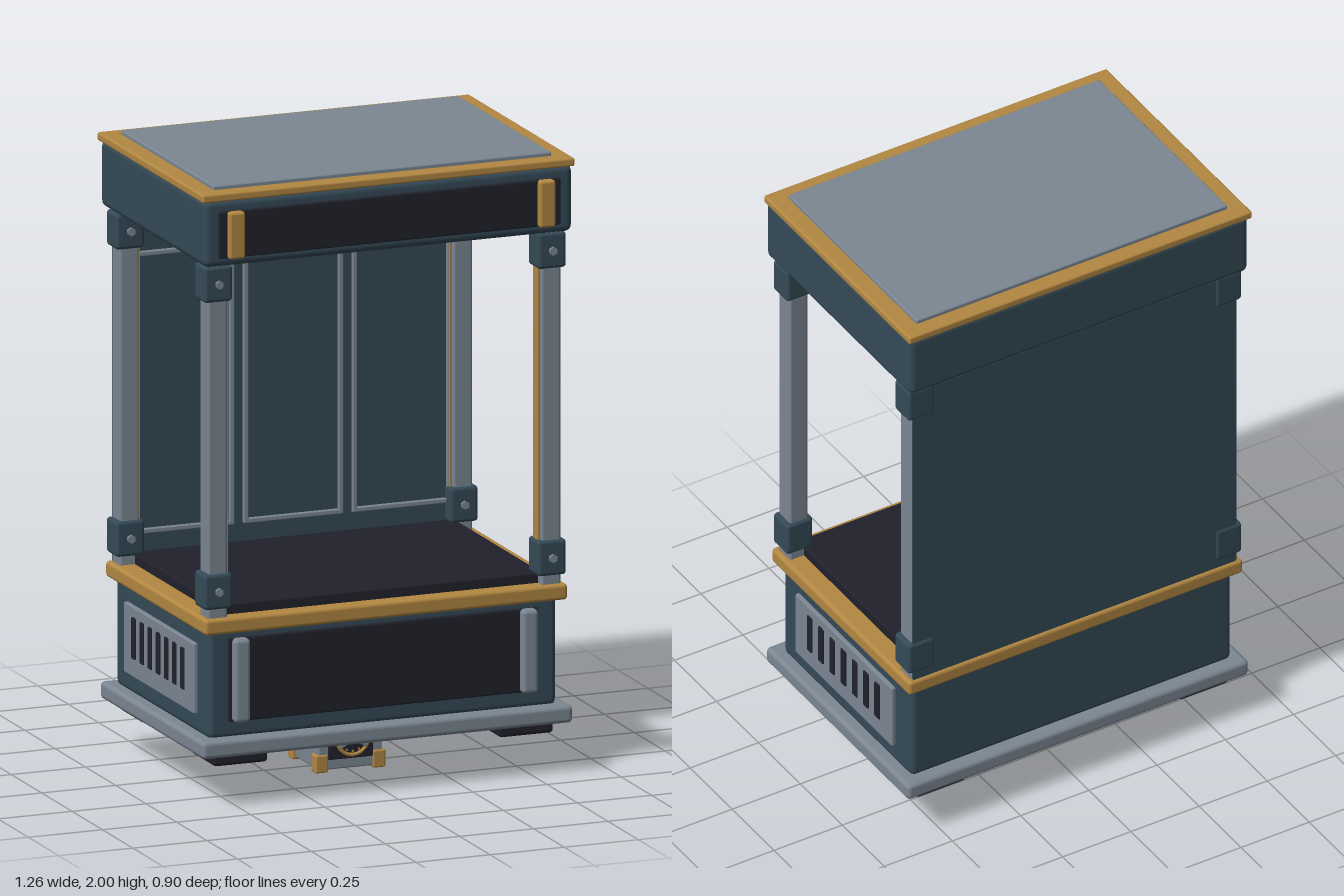
import * as THREE from 'three';
import { RoundedBoxGeometry } from 'three/addons/geometries/RoundedBoxGeometry.js';

const paint = (name, color) => Object.assign(new THREE.MeshStandardMaterial({ color }), { name });

export function createModel() {
  const model = new THREE.Group();
  model.name = 'displayCabinet';
  const slate = paint('slate blue', 0x344a57);
  const steel = paint('steel grey', 0x7c8793);
  const brass = paint('brass', 0xb38842);
  const dark = paint('charcoal', 0x21212c);

  // Box given by its extents on each axis; r rounds the edges
  function box(name, mat, [x0, x1], [y0, y1], [z0, z1], r = 0, parent = model) {
    const w = x1 - x0, h = y1 - y0, d = z1 - z0;
    const geo = r ? new RoundedBoxGeometry(w, h, d, 2, r) : new THREE.BoxGeometry(w, h, d);
    const mesh = new THREE.Mesh(geo, mat);
    mesh.name = name;
    mesh.position.set((x0 + x1) / 2, (y0 + y1) / 2, (z0 + z1) / 2);
    parent.add(mesh);
    return mesh;
  }
  // Same box on both sides of the x axis
  function pair(name, mat, [x0, x1], y, z, r, parent) {
    box(name, mat, [x0, x1], y, z, r, parent);
    box(name, mat, [-x1, -x0], y, z, r, parent);
  }
  // Round part facing +z
  function disc(name, mat, radius, x, y, z0, z1, sides, parent = model) {
    const mesh = new THREE.Mesh(new THREE.CylinderGeometry(radius, radius, z1 - z0, sides), mat);
    mesh.name = name;
    mesh.rotation.x = Math.PI / 2;
    mesh.position.set(x, y, (z0 + z1) / 2);
    parent.add(mesh);
  }

  // Lower cabinet
  box('basePlate', steel, [-0.625, 0.625], [0.165, 0.222], [-0.44, 0.412], 0.015);
  for (const z of [[0.18, 0.377], [-0.403, -0.217]])
    pair('foot', dark, [0.39, 0.573], [0.13, 0.17], z, 0.012);
  box('lowerBody', slate, [-0.587, 0.587], [0.215, 0.57], [-0.398, 0.367], 0.02);
  box('lowerFrontPanel', dark, [-0.522, 0.522], [0.27, 0.54], [0.35, 0.378], 0.006);
  pair('lowerHandle', steel, [0.458, 0.513], [0.27, 0.54], [0.36, 0.405], 0.014);
  box('brassLedge', brass, [-0.612, 0.612], [0.56, 0.612], [-0.425, 0.4], 0.012);
  box('displayFloor', dark, [-0.545, 0.545], [0.605, 0.645], [-0.375, 0.352], 0.006);

  // Side vents with seven slots
  pair('ventPlate', steel, [0.575, 0.6], [0.28, 0.507], [-0.302, 0.276], 0.005);
  for (let i = 0; i < 7; i++) {
    const z = 0.186 - i * 0.067;
    pair('ventSlot', dark, [0.592, 0.605], [0.34, 0.475], [z - 0.015, z + 0.015], 0.005);
  }

  // Corner posts, inner brass strips, caps and bolts
  for (const [z0, z1] of [[0.313, 0.383], [-0.412, -0.342]]) {
    const zm = (z0 + z1) / 2;
    pair('post', steel, [0.53, 0.595], [0.605, 1.76], [z0, z1], 0.008);
    pair('postStrip', brass, [0.523, 0.531], [0.64, 1.7], [zm - 0.022, zm + 0.022]);
    for (const y of [[0.64, 0.755], [1.63, 1.746]]) {
      pair('postCap', slate, [0.515, 0.611], y, [zm - 0.044, zm + 0.044], 0.012);
      for (const s of [-1, 1])
        disc('capBolt', steel, 0.014, s * 0.563, (y[0] + y[1]) / 2, zm + 0.04, zm + 0.054, 6);
    }
  }

  // Back wall with three raised frames
  box('backWall', slate, [-0.592, 0.592], [0.605, 1.735], [-0.416, -0.378]);
  for (const x of [-0.367, 0, 0.367]) {
    const frame = new THREE.Group();
    frame.name = 'wallFrame';
    frame.position.x = x;
    model.add(frame);
    const z = [-0.38, -0.364];
    pair('frameUpright', steel, [0.152, 0.168], [0.7, 1.61], z, 0.004, frame);
    for (const y of [0.7, 1.594])
      box('frameRail', steel, [-0.168, 0.168], [y, y + 0.016], z, 0.004, frame);
  }

  // Head and roof
  box('head', slate, [-0.621, 0.621], [1.75, 1.966], [-0.445, 0.418], 0.022);
  box('headPanel', dark, [-0.575, 0.575], [1.78, 1.93], [0.4, 0.43], 0.005);
  pair('headBar', brass, [0.497, 0.55], [1.78, 1.93], [0.415, 0.452], 0.008);
  box('roofTrim', brass, [-0.628, 0.628], [1.96, 1.987], [-0.453, 0.418], 0.007);
  box('roofPanel', steel, [-0.57, 0.57], [1.98, 2], [-0.4, 0.366], 0.005);

  // Small lock box under the base
  const lock = new THREE.Group();
  lock.name = 'lockBox';
  model.add(lock);
  box('lockBody', steel, [-0.107, 0.107], [0.008, 0.168], [-0.12, 0.1], 0.005, lock);
  box('lockDoor', dark, [-0.075, 0.075], [0.04, 0.163], [0.09, 0.106], 0.004, lock);
  for (const z of [[0.062, 0.105], [-0.128, -0.088]])
    pair('lockCorner', brass, [0.075, 0.118], [0, 0.058], z, 0.006, lock);
  for (const y of [0.067, 0.13])
    pair('lockHinge', steel, [0.1, 0.114], [y, y + 0.022], [-0.122, -0.075], 0.004, lock);

  // Dial with rim, hub, spokes and ticks
  const cy = 0.108;
  disc('dialPlate', dark, 0.053, 0, cy, 0.1, 0.12, 24, lock);
  const rim = new THREE.Mesh(new THREE.TorusGeometry(0.053, 0.006, 8, 28), brass);
  rim.name = 'dialRim';
  rim.position.set(0, cy, 0.12);
  lock.add(rim);
  disc('dialHub', brass, 0.012, 0, cy, 0.115, 0.138, 12, lock);
  for (let i = 0; i < 3; i++) {
    const arm = new THREE.Group();
    arm.position.y = cy;
    arm.rotation.z = i * Math.PI * 2 / 3;
    lock.add(arm);
    box('dialSpoke', steel, [-0.005, 0.005], [0, 0.05], [0.118, 0.13], 0.002, arm);
  }
  for (let i = 0; i < 12; i++) {
    const a = i * Math.PI / 6;
    const x = Math.sin(a) * 0.041, y = cy + Math.cos(a) * 0.041;
    disc('dialTick', brass, 0.004, x, y, 0.118, 0.123, 6, lock);
  }
  return model;
}
